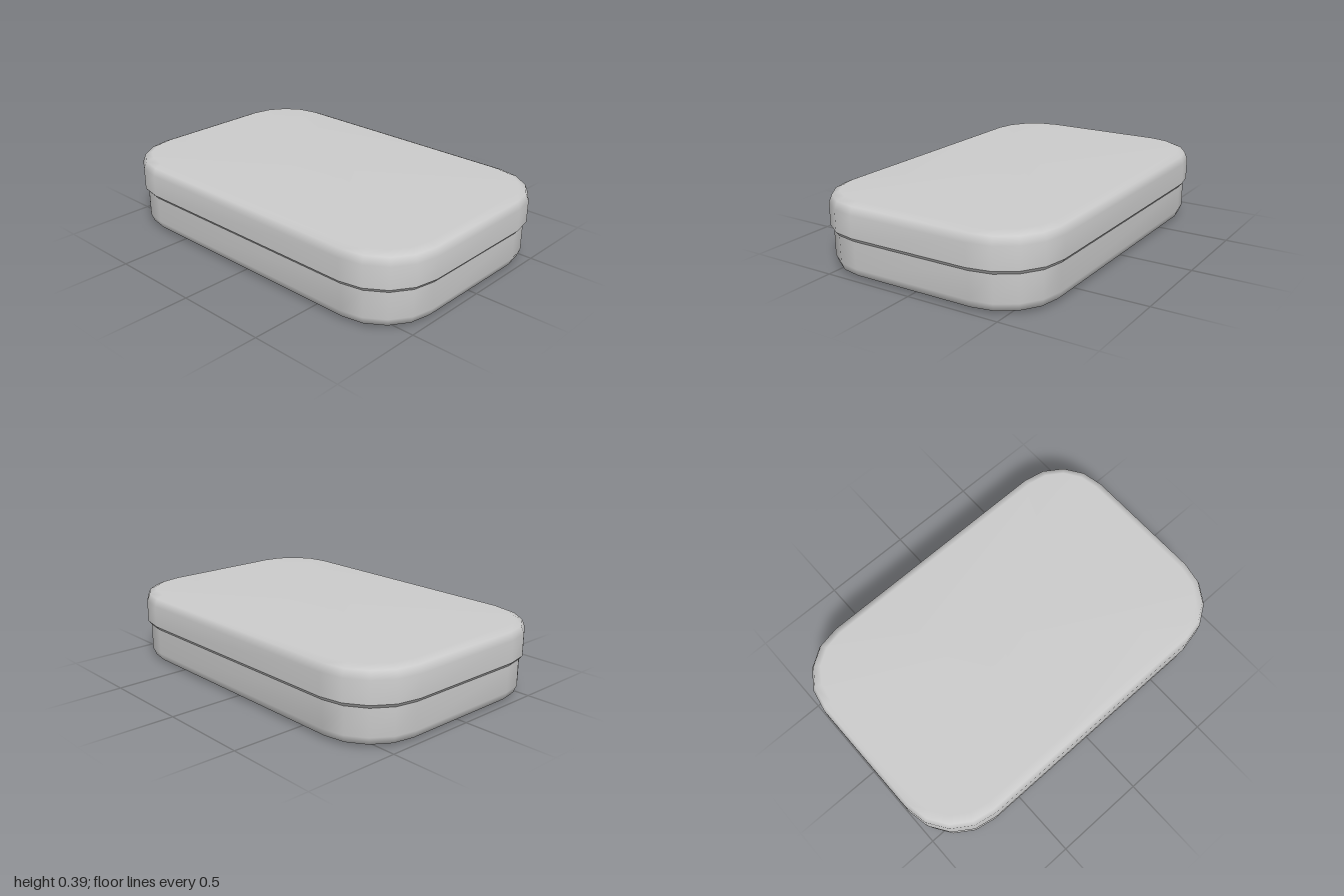
import * as THREE from 'three';

const CORNER_X = 0.335, CORNER_Z = 0.68, RADIUS = 0.32, STEPS = 4;

// Rounded-rectangle outline, counterclockwise seen from above
function outline(inset, y) {
  const r = RADIUS - inset, points = [];
  for (let corner = 0; corner < 4; corner++) {
    const sx = corner === 0 || corner === 3 ? 1 : -1;
    const sz = corner < 2 ? -1 : 1;
    for (let k = 0; k <= STEPS; k++) {
      const a = (corner + k / STEPS) * Math.PI / 2;
      points.push([sx * CORNER_X + r * Math.cos(a), y, sz * CORNER_Z - r * Math.sin(a)]);
    }
  }
  return points;
}

// Smooth shell through [inset, y] outlines listed bottom to top, with optional flat caps
function shell(name, profile, { top = false, bottom = false } = {}) {
  const rings = profile.map(([inset, y]) => outline(inset, y));
  const n = rings[0].length, last = (rings.length - 1) * n;
  const positions = rings.flat(2), index = [];
  for (let i = 0; i < rings.length - 1; i++) {
    for (let j = 0; j < n; j++) {
      const a = i * n + j, b = i * n + (j + 1) % n;
      index.push(a, b, b + n, a, b + n, a + n);
    }
  }
  if (top) {
    const c = positions.length / 3;
    positions.push(0, profile[profile.length - 1][1], 0);
    for (let j = 0; j < n; j++) index.push(c, last + j, last + (j + 1) % n);
  }
  if (bottom) {
    const c = positions.length / 3;
    positions.push(0, profile[0][1], 0);
    for (let j = 0; j < n; j++) index.push(c, (j + 1) % n, j);
  }
  const geometry = new THREE.BufferGeometry();
  geometry.setAttribute('position', new THREE.Float32BufferAttribute(positions, 3));
  geometry.setIndex(index);
  geometry.computeVertexNormals();
  const mesh = new THREE.Mesh(geometry, new THREE.MeshStandardMaterial({ color: 0xcccccc }));
  mesh.name = name;
  return mesh;
}

export function createModel() {
  const tin = new THREE.Group();
  tin.name = 'tin';
  tin.add(
    // Lower box with a rounded bottom edge
    shell('base', [[0.073, 0], [0.033, 0.017], [0.017, 0.057], [0.017, 0.2]], { bottom: true }),
    // Sloped underside of the lid rim
    shell('lidRim', [[0.017, 0.2], [0, 0.22]]),
    // Lid with a rounded top edge
    shell('lid', [[0, 0.22], [0, 0.337], [0.016, 0.377], [0.056, 0.394]], { top: true })
  );
  return tin;
}
